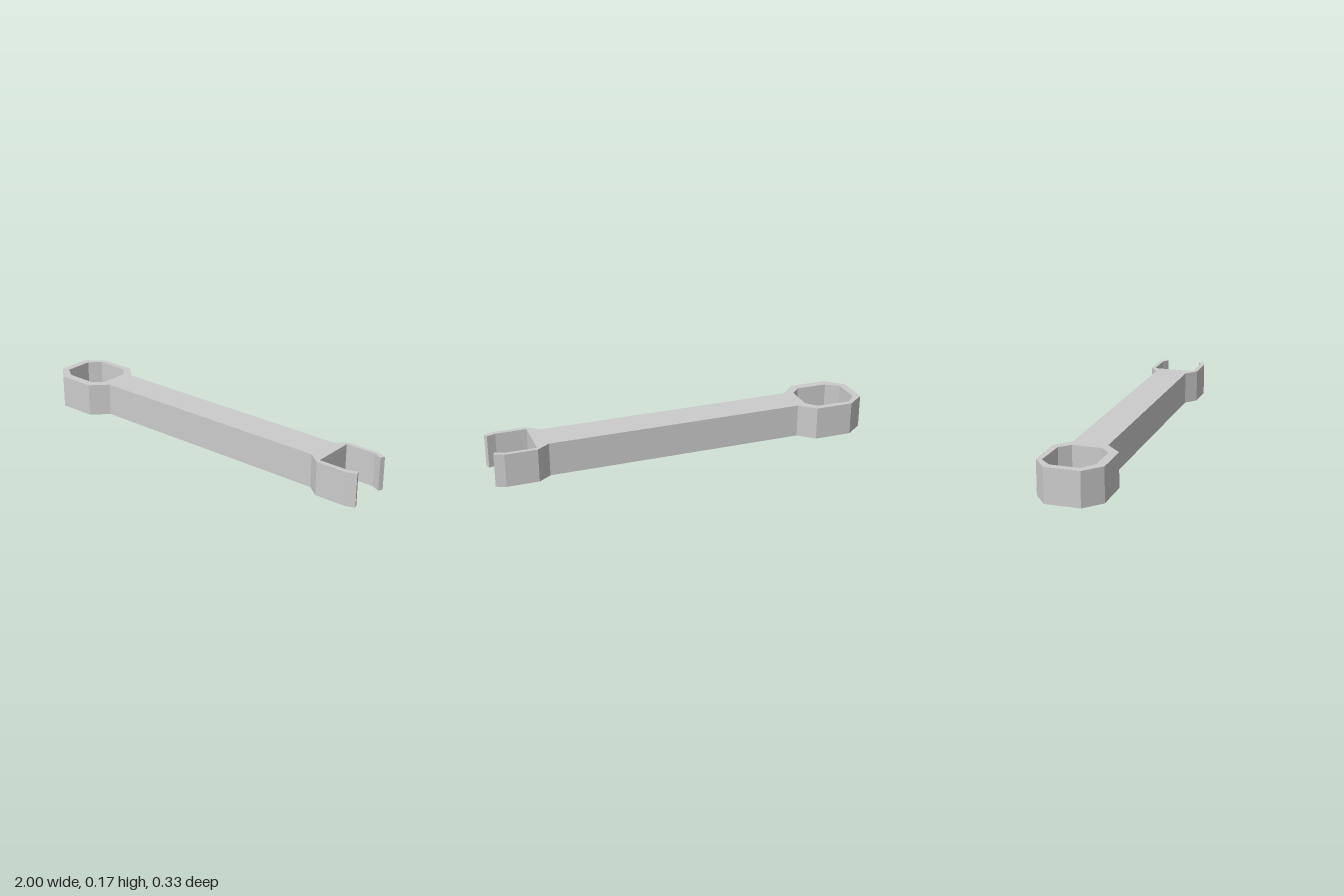
import * as THREE from 'three';

const HEIGHT = 0.175;
const toPoints = (list) => list.map(([x, z]) => new THREE.Vector2(x, z));

export function createModel() {
  const group = new THREE.Group();
  group.name = 'wrench';

  // Plan outline (x, z): ring end, handle, open jaw
  const outline = new THREE.Shape(toPoints([
    // back edge, ring to jaw
    [-1, -0.094], [-0.91, -0.165], [-0.71, -0.165], [-0.63, -0.094],
    [0.72, -0.094], [0.785, -0.14],
    // back prong with inward-bent tip
    [0.95, -0.14], [1, -0.12], [0.99, -0.097], [0.945, -0.119], [0.785, -0.119],
    // front prong
    [0.785, 0.109], [0.945, 0.109], [0.99, 0.093], [1, 0.117], [0.95, 0.134],
    // front edge, jaw to ring
    [0.785, 0.134], [0.72, 0.082], [-0.63, 0.082],
    [-0.71, 0.162], [-0.91, 0.162], [-1, 0.082],
  ]));

  // Eight-sided socket through the ring
  outline.holes.push(new THREE.Path(toPoints([
    [-0.962, -0.08], [-0.91, -0.136], [-0.73, -0.131], [-0.68, -0.08],
    [-0.68, 0.068], [-0.73, 0.118], [-0.895, 0.116], [-0.962, 0.07],
  ])));

  // Extrude upward from the ground
  const geometry = new THREE.ExtrudeGeometry(outline, { depth: HEIGHT, bevelEnabled: false });
  geometry.rotateX(Math.PI / 2);
  geometry.translate(0, HEIGHT, 0);

  const body = new THREE.Mesh(
    geometry,
    new THREE.MeshStandardMaterial({ color: 0xcccccc, flatShading: true }),
  );
  body.name = 'wrenchBody';
  group.add(body);
  return group;
}
